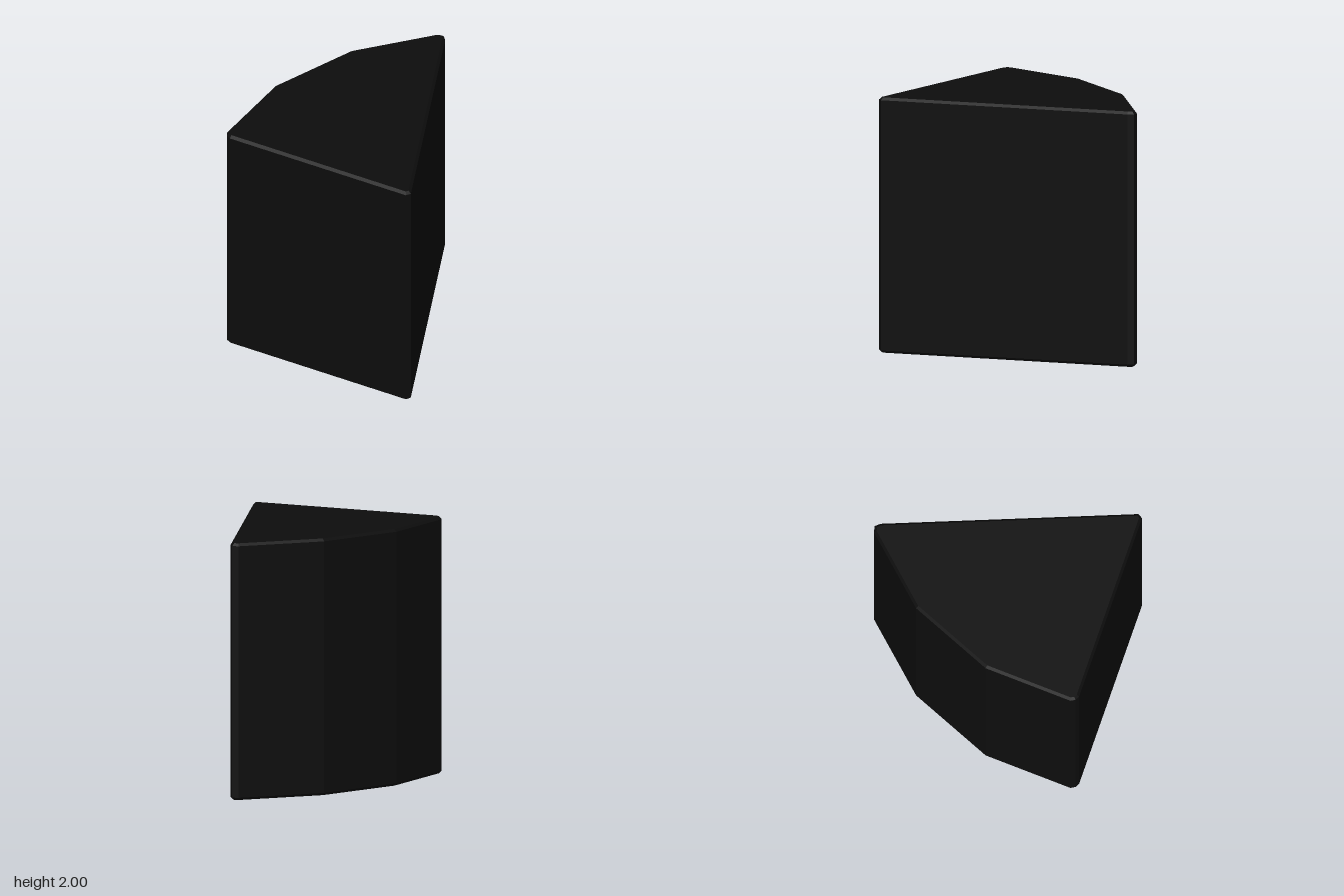
import * as THREE from 'three';

const HEIGHT = 2;
const BEVEL = 0.02;

// Plan outline as [x, z]: two straight sides, a three-facet curved back, eased corners
const OUTLINE = [
  [0.345, 1.0], [0.385, 0.985],
  [0.912, -0.93], [0.908, -0.98], [0.862, -1.0],
  [0.17, -0.88], [-0.46, -0.52],
  [-0.912, 0.02], [-0.917, 0.06], [-0.9, 0.095],
];

export function createModel() {
  const group = new THREE.Group();
  group.name = 'wedgeBlock';

  // Extruded wedge with a small chamfer kept inside the outline
  const shape = new THREE.Shape(OUTLINE.map(([x, z]) => new THREE.Vector2(x, -z)));
  const geometry = new THREE.ExtrudeGeometry(shape, {
    depth: HEIGHT - 2 * BEVEL,
    bevelEnabled: true,
    bevelThickness: BEVEL,
    bevelSize: BEVEL,
    bevelOffset: -BEVEL,
    bevelSegments: 1,
  });
  geometry.rotateX(-Math.PI / 2);
  geometry.translate(0, BEVEL, 0);

  const wedge = new THREE.Mesh(geometry, new THREE.MeshStandardMaterial({ color: 0x0d0d0d }));
  wedge.name = 'wedge';
  group.add(wedge);
  return group;
}
